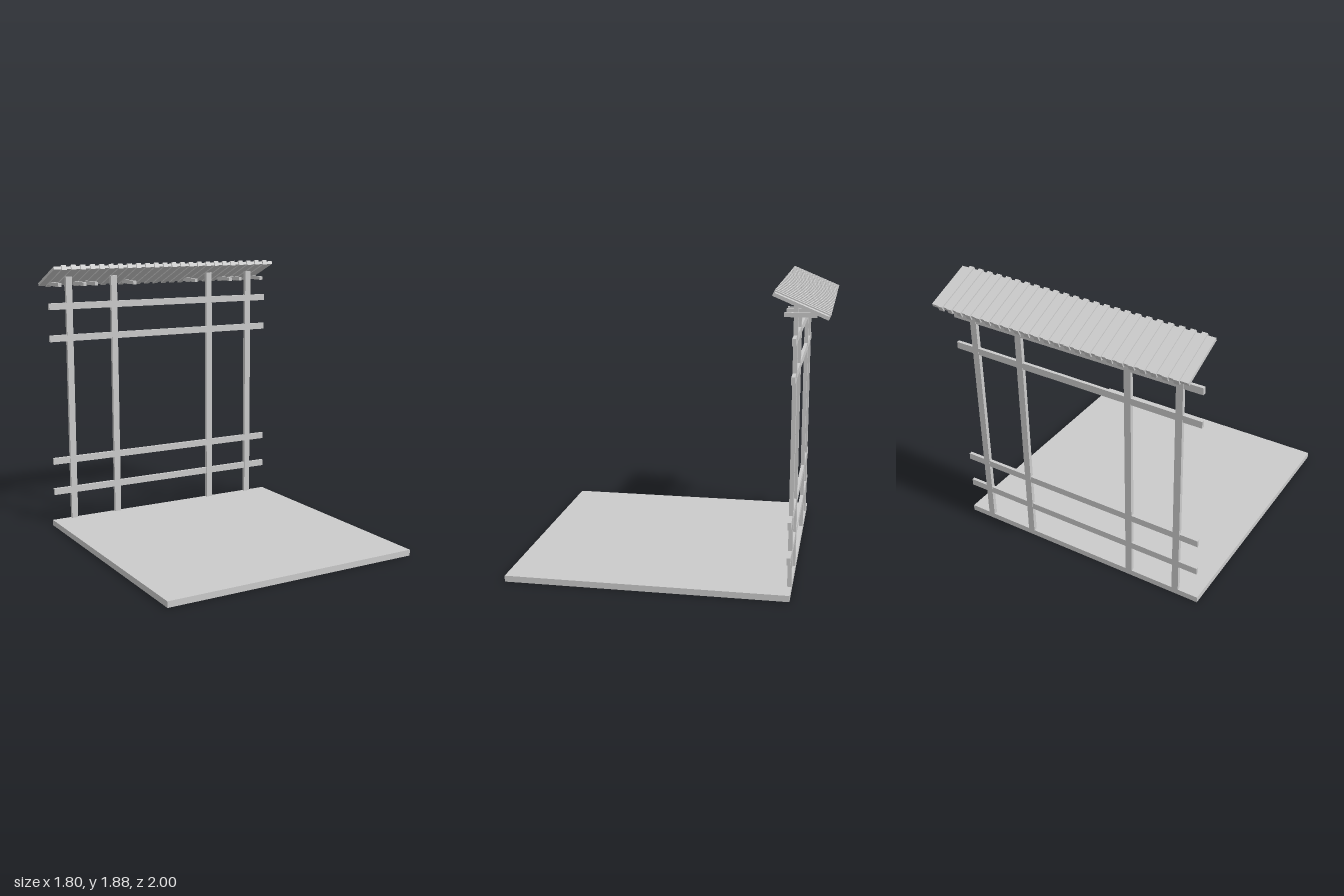
import * as THREE from 'three';

const grey = new THREE.MeshStandardMaterial({ color: 0xcccccc, flatShading: true });

function addBox(parent, name, size, pos) {
  const mesh = new THREE.Mesh(new THREE.BoxGeometry(...size), grey);
  mesh.name = name;
  mesh.position.set(...pos);
  parent.add(mesh);
  return mesh;
}

export function createModel() {
  const model = new THREE.Group();
  model.name = 'roofedFence';
  const fenceZ = -0.794;

  // Ground slab, with the fence along its back edge
  addBox(model, 'floor', [1.8, 0.04, 1.807], [0, 0.02, 0.0965]);

  // Four uprights, in mirrored pairs
  for (const x of [-0.737, -0.392, 0.392, 0.737]) {
    addBox(model, 'post', [0.046, 1.75, 0.026], [x, 0.915, fenceZ]);
  }

  // Two low and two high cross rails
  for (const y of [0.253, 0.477, 1.36, 1.585]) {
    addBox(model, 'rail', [1.775, 0.046, 0.022], [0, y, fenceZ]);
  }

  // Short bearers under the roof
  for (const x of [0.253, 0.55, 0.638, 0.825]) {
    for (const side of [-1, 1]) {
      addBox(model, 'roofBearer', [0.024, 0.026, 0.19], [side * x, 1.737, -0.825]);
    }
  }

  // Sloping roof: a thin panel with thicker battens running through it
  const roof = new THREE.Group();
  roof.name = 'roof';
  roof.position.set(0, 1.793, -0.829);
  roof.rotation.x = -0.394;
  model.add(roof);
  addBox(roof, 'roofPanel', [1.776, 0.021, 0.336], [0, 0, 0]);
  const count = 24, pitch = 0.071;
  for (let i = 0; i < count; i++) {
    addBox(roof, 'roofBatten', [0.036, 0.036, 0.354], [(i - (count - 1) / 2) * pitch, 0, 0]);
  }
  return model;
}
